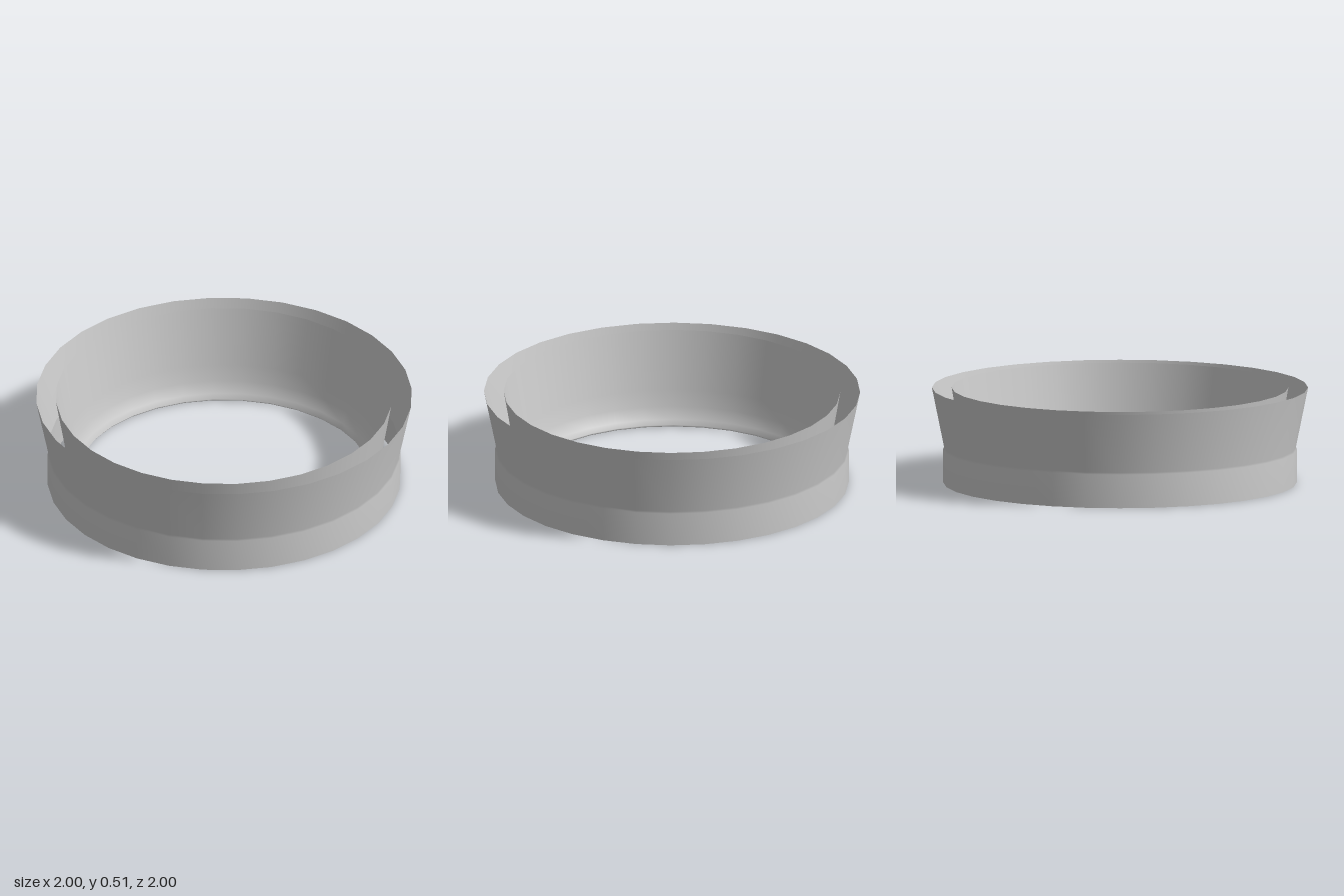
import * as THREE from 'three';

const SIDES = 32;
const START = THREE.MathUtils.degToRad(1.2);

// Thin open band swept round the vertical axis from [radius, height] points
function band(name, profile, material) {
  const points = profile.map(([r, y]) => new THREE.Vector2(r, y));
  const mesh = new THREE.Mesh(new THREE.LatheGeometry(points, SIDES, START), material);
  mesh.name = name;
  return mesh;
}

export function createModel() {
  const group = new THREE.Group();
  group.name = 'doubleWalledRing';
  const material = new THREE.MeshStandardMaterial({ color: 0xcccccc, side: THREE.DoubleSide });

  // Outer wall: straight foot, tiny ledge, then a flare up to the rim
  group.add(band('outerWall', [
    [0.94, 0], [0.94, 0.18], [0.935, 0.19], [1, 0.51],
  ], material));

  // Inner wall: tapers down parallel to the flare and curls into a small lip
  group.add(band('innerWall', [
    [0.895, 0.51], [0.84, 0.19], [0.825, 0.1], [0.802, 0.035], [0.78, 0.012], [0.79, 0],
  ], material));

  return group;
}
